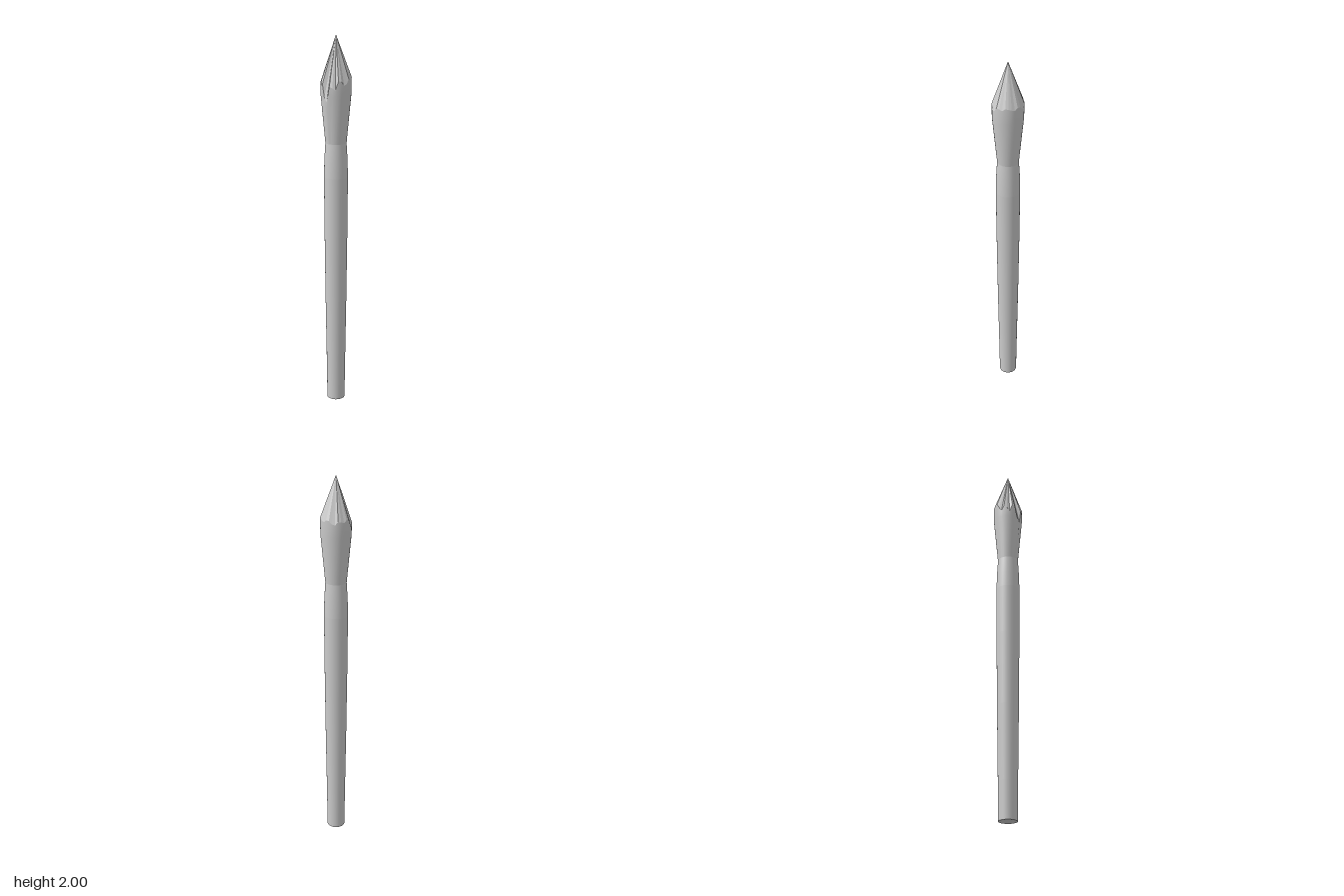
import * as THREE from 'three';

const SIDES = 32;
const grey = (flatShading = false) => new THREE.MeshStandardMaterial({ color: 0xcccccc, flatShading });

function addMesh(group, name, geometry, flat) {
  const mesh = new THREE.Mesh(geometry, grey(flat));
  mesh.name = name;
  group.add(mesh);
}

const lathe = (points) =>
  new THREE.LatheGeometry(points.map(([r, y]) => new THREE.Vector2(r, y)), SIDES);

// Uneven height of the shoulder where each tuft bends towards the tip;
// it is most ragged on the front left-hand side of the picture plane (-x, +z).
function shoulderHeight(i) {
  const a = (i / SIDES) * Math.PI * 2;
  const ragged = Math.max(0, Math.cos(a - Math.PI * 0.8));
  const dip = [0.1, 0.9, 0.3, 0.0, 0.7, 0.2, 0.5][(i * 3) % 7];
  return 1.79 - dip * (0.025 + 0.085 * ragged) - 0.02 * ragged;
}

// Surface lofted through closed rings of vertices, given from bottom to top.
function loft(rings) {
  const positions = rings.flat(2);
  const index = [];
  for (let k = 0; k < rings.length - 1; k++) {
    for (let i = 0; i < SIDES; i++) {
      const a = k * SIDES + i;
      const b = k * SIDES + ((i + 1) % SIDES);
      index.push(a, b, b + SIDES, a, b + SIDES, a + SIDES);
    }
  }
  const geometry = new THREE.BufferGeometry();
  geometry.setAttribute('position', new THREE.Float32BufferAttribute(positions, 3));
  geometry.setIndex(index);
  geometry.computeVertexNormals();
  return geometry;
}

// Ring around the y axis, counter-clockwise seen from above.
const ring = (radius, height) =>
  Array.from({ length: SIDES }, (_, i) => {
    const a = (i / SIDES) * Math.PI * 2;
    return [Math.cos(a) * radius, height(i), -Math.sin(a) * radius].map((v, j) => (j === 2 ? -v : v));
  }).reverse();

export function createModel() {
  const group = new THREE.Group();
  group.name = 'paintbrush';

  // Tapered handle with a closed foot
  addMesh(group, 'handle', lathe([
    [0.048, 0], [0.0505, 0.2], [0.0565, 0.6], [0.061, 1.0], [0.0625, 1.27],
  ]));
  const foot = new THREE.CircleGeometry(0.048, SIDES);
  foot.rotateX(Math.PI / 2);
  addMesh(group, 'handleFoot', foot);

  // Ferrule narrowing towards the bristles
  addMesh(group, 'ferrule', lathe([[0.0625, 1.27], [0.0605, 1.36], [0.055, 1.45]]));

  // Swelling bristle body, ending in a jagged shoulder
  const shoulder = ring(0.08, shoulderHeight);
  addMesh(group, 'bristleBody', loft([
    ring(0.055, () => 1.45),
    ring(0.0785, (i) => Math.min(1.7, shoulderHeight(i) - 0.03)),
    shoulder,
  ]));

  // Faceted bristle tip
  addMesh(group, 'bristleTip', loft([shoulder, ring(0.0005, () => 2)]), true);

  return group;
}
